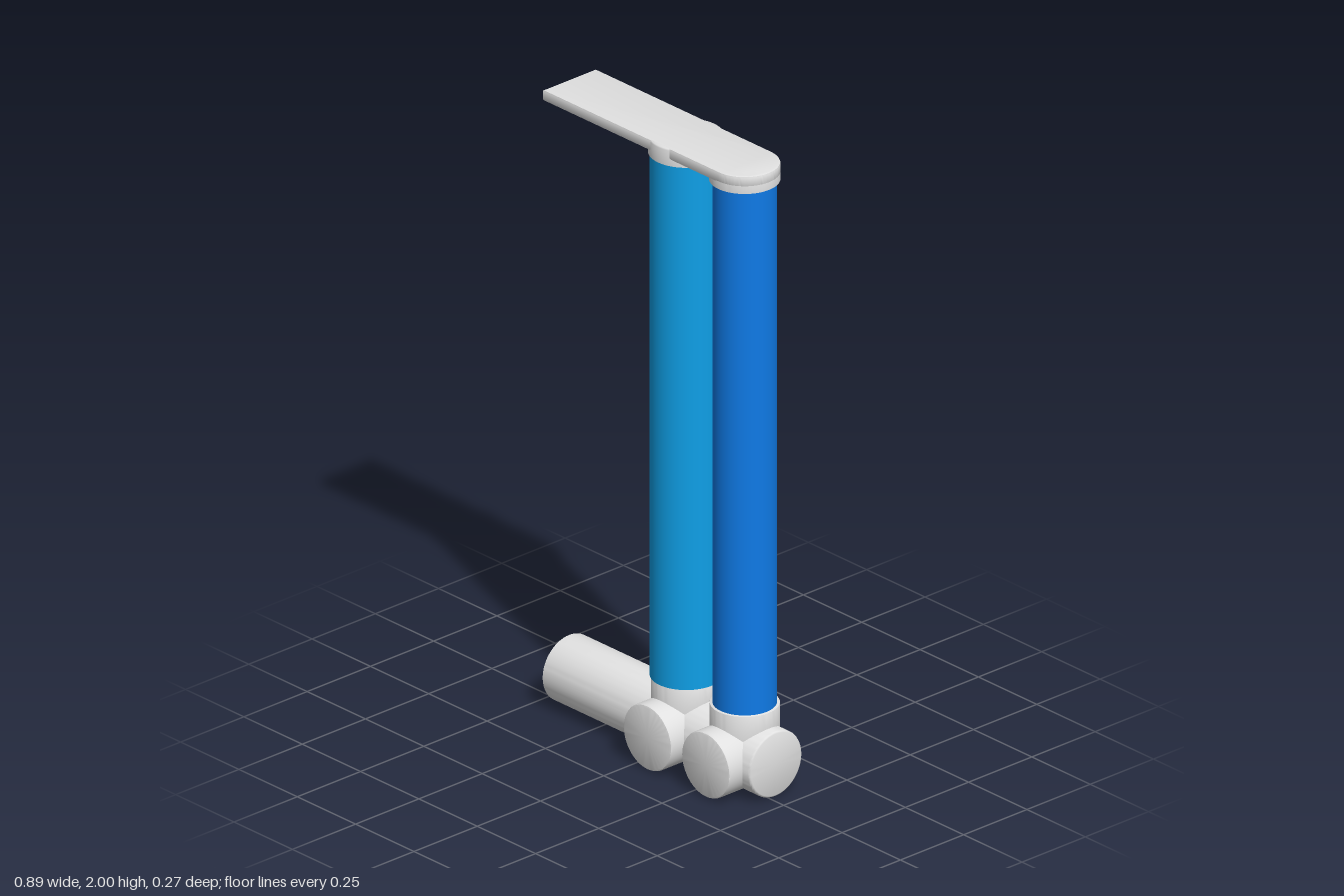
import * as THREE from 'three';
import { toCreasedNormals } from 'three/addons/utils/BufferGeometryUtils.js';

const R = 0.104;          // main pipe radius
const PIPE_Y = 0.105;
const AXIS_Z = -0.023;
const X_WIDE = 0.058, X_NARROW = 0.308;

// Turned part: profile of [radius, height] pairs, bottom to top
function turned(profile) {
  return new THREE.LatheGeometry(profile.map(([r, h]) => new THREE.Vector2(r, h)), 64);
}

// Branch pipe with a closed chamfered end; its foot is cut to sit on the main pipe
function branch(length, chamfer) {
  const r = 0.103;
  const g = turned([[r, 0], [r, length - chamfer], [r - chamfer * 0.3, length - chamfer * 0.3],
    [r - chamfer, length], [0, length]]);
  const p = g.attributes.position;
  for (let i = 0; i < p.count; i++) {
    if (p.getY(i) < 1e-6) p.setY(i, Math.sqrt(Math.max(0, R * R - p.getZ(i) ** 2)) - 0.001);
  }
  return toCreasedNormals(g, 0.7);
}

// Drop the triangles of the end wall so the slab stays open on that side
function openEnd(geometry, limit) {
  const src = geometry.index ? geometry.toNonIndexed() : geometry;
  const p = src.attributes.position;
  const kept = [];
  for (let i = 0; i < p.count; i += 3) {
    if ([0, 1, 2].every(k => p.getX(i + k) < limit)) continue;
    for (let k = 0; k < 3; k++) kept.push(p.getX(i + k), p.getY(i + k), p.getZ(i + k));
  }
  const g = new THREE.BufferGeometry();
  g.setAttribute('position', new THREE.Float32BufferAttribute(kept, 3));
  return toCreasedNormals(g, 0.6);
}

export function createModel() {
  const group = new THREE.Group();
  const grey = new THREE.MeshStandardMaterial({ color: 0xe0e0e0 });
  const cyan = new THREE.MeshStandardMaterial({ color: 0x0f9fe6 });
  const blue = new THREE.MeshStandardMaterial({ color: 0x0f7ae6 });
  grey.name = 'light grey';
  cyan.name = 'cyan';
  blue.name = 'blue';

  const add = (name, geometry, material, x, y, z) => {
    const mesh = new THREE.Mesh(geometry, material);
    mesh.name = name;
    mesh.position.set(x, y, z);
    group.add(mesh);
    return mesh;
  };

  // Main pipe: open at one end, capped at the other
  const pipe = turned([[R, -0.445], [R, 0.436], [R - 0.002, 0.44], [R - 0.006, 0.442], [0, 0.442]]);
  pipe.rotateZ(-Math.PI / 2);
  add('mainPipe', toCreasedNormals(pipe, 0.7), grey, 0, PIPE_Y, AXIS_Z);

  // Columns with their collars, front ports and top caps
  const columns = [
    { name: 'wide', x: X_WIDE, r: 0.107, cap: 0.112, material: cyan },
    { name: 'narrow', x: X_NARROW, r: 0.094, cap: 0.104, material: blue },
  ];
  for (const { name, x, r, cap, material } of columns) {
    add(name + 'Column', new THREE.CylinderGeometry(r, r, 1.685, 64), material, x, 1.1025, AXIS_Z);
    add(name + 'Collar', branch(0.155, 0.003), grey, x, PIPE_Y, AXIS_Z);
    add(name + 'FrontPort', branch(0.156, 0.007), grey, x, PIPE_Y, AXIS_Z).rotation.x = Math.PI / 2;
    const capShape = turned([[0, 0], [cap, 0], [cap, 0.049], [cap - 0.002, 0.053],
      [cap - 0.005, 0.0545], [0, 0.0545]]);
    add(name + 'TopCap', toCreasedNormals(capShape, 0.7), grey, x, 1.945, AXIS_Z);
  }

  // Flat top duct with one rounded end and one open end
  const outline = new THREE.Shape();
  outline.moveTo(-0.444, -R);
  outline.lineTo(X_NARROW, -R);
  outline.absarc(X_NARROW, 0, R, -Math.PI / 2, Math.PI / 2, false);
  outline.lineTo(-0.444, R);
  outline.closePath();
  const bevel = 0.005;
  const duct = new THREE.ExtrudeGeometry(outline, {
    depth: 0.035 - 2 * bevel, curveSegments: 32,
    bevelEnabled: true, bevelSize: bevel, bevelThickness: bevel, bevelOffset: -bevel, bevelSegments: 2,
  });
  duct.rotateX(-Math.PI / 2);
  add('topDuct', openEnd(duct, -0.43), grey, 0, 1.965 + bevel, AXIS_Z);

  return group;
}
